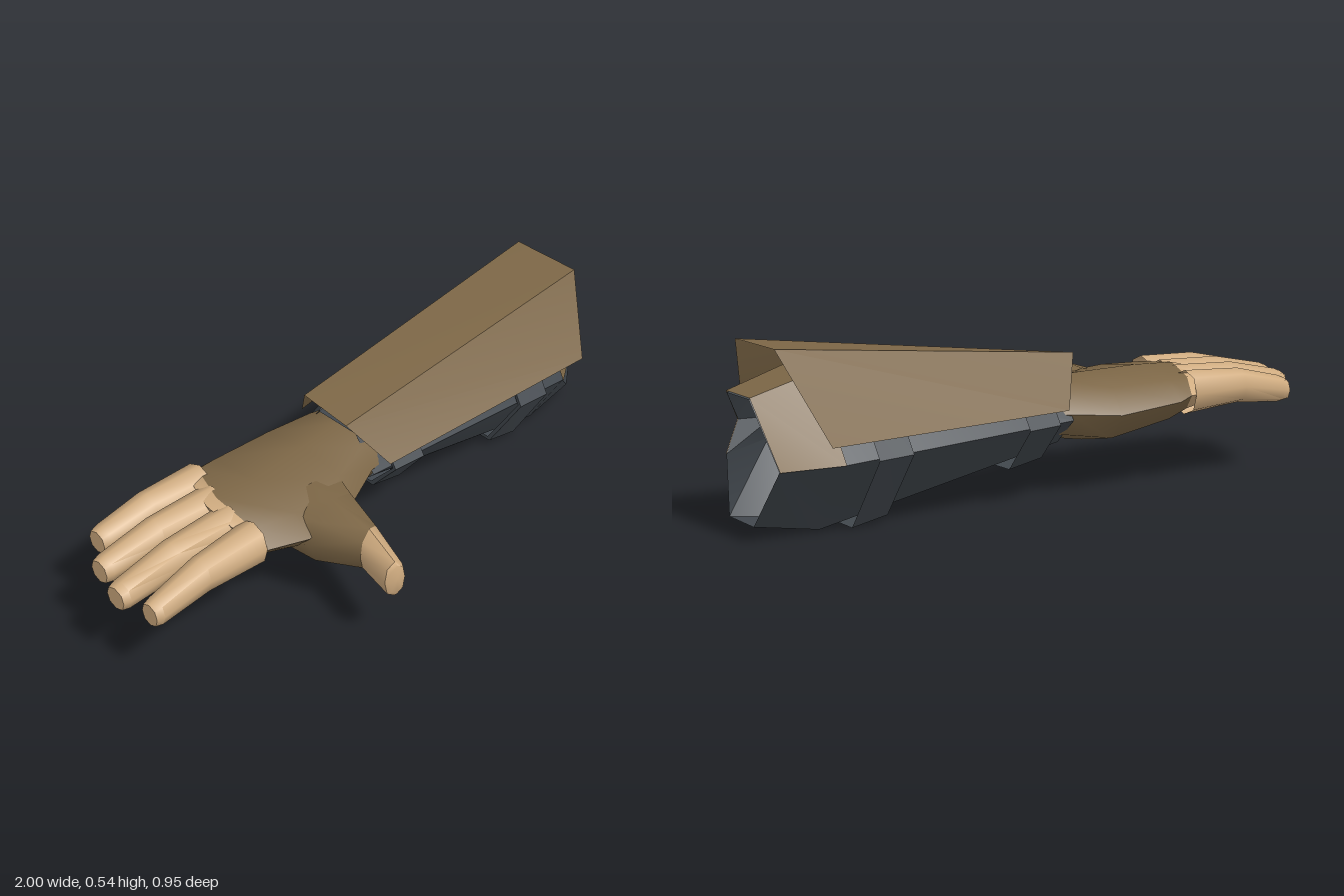
import * as THREE from 'three';
import { toCreasedNormals } from 'three/addons/utils/BufferGeometryUtils.js';

// Skin through rings of [x, y, z] points; optional end caps
function loft(rings, { closed = true, capStart = false, capEnd = false, crease = 0.6 } = {}) {
  const n = rings[0].length, pos = rings.flat(2), idx = [];
  for (let i = 0; i < rings.length - 1; i++) {
    for (let j = 0; j < (closed ? n : n - 1); j++) {
      const a = i * n + j, b = i * n + (j + 1) % n, c = a + n, d = b + n;
      idx.push(a, c, b, b, c, d);
    }
  }
  const cap = (i, flip) => {
    const centre = pos.length / 3;
    for (let k = 0; k < 3; k++) pos.push(rings[i].reduce((s, p) => s + p[k], 0) / n);
    for (let j = 0; j < n; j++) {
      const a = i * n + j, b = i * n + (j + 1) % n;
      if (flip) idx.push(centre, b, a); else idx.push(centre, a, b);
    }
  };
  if (capStart) cap(0, false);
  if (capEnd) cap(rings.length - 1, true);
  const g = new THREE.BufferGeometry();
  g.setAttribute('position', new THREE.Float32BufferAttribute(pos, 3));
  g.setIndex(idx);
  return toCreasedNormals(g, crease);
}

// Rounded eight-point outline, from the side over the top
const OCT = [[1, 0], [0.75, 0.72], [0, 1], [-0.75, 0.72], [-1, 0], [-0.75, -0.72], [0, -1], [0.75, -0.72]];
const mix = (a, b, t) => a + (b - a) * t;

// Ring across the hand or a finger
const ring = (x, zF, zB, top, bot, skew = () => 0) => OCT.map(([u, v]) => {
  const z = (zF + zB) / 2 + u * (zF - zB) / 2;
  return [x + skew(z), (top + bot) / 2 + v * (top - bot) / 2, z];
});

// Ring across the thumb between two edge points [x, z]
const thumbRing = ([x0, z0], [x1, z1], top, bot) => OCT.map(([u, v]) => {
  const t = (1 - u) / 2;
  return [mix(x0, x1, t), (top + bot) / 2 + v * (top - bot) / 2, mix(z0, z1, t)];
});

// Outline of the tapering forearm at x, enlarged by grow
function armRing(x, grow = 0) {
  const t = (x + 0.04) / 0.84;
  const top = mix(0.365, 0.46, t) + grow, bot = mix(0.17, 0.01, t) - grow;
  const sideY = mix(0.25, 0.225, t);
  const side = [x, sideY, mix(0.04, 0.07, t) + grow];
  const topF = [x, top, mix(-0.04, -0.06, t) + grow * 0.6];
  const topB = [x, top, mix(-0.21, -0.24, t) - grow * 0.6];
  const back = [x, sideY, mix(-0.3, -0.42, t) - grow];
  const botB = [x, bot, mix(-0.21, -0.25, t) - grow * 0.6];
  const botF = [x, bot, mix(-0.05, -0.065, t) + grow * 0.6];
  const upper = side.map((s, k) => mix(s, topF[k], 0.3));
  return [side, upper, topF, topB, back, botB, botF];
}

export function createModel() {
  const mat = (name, color) => {
    const m = new THREE.MeshStandardMaterial({ color, side: THREE.DoubleSide });
    m.name = name;
    return m;
  };
  const leather = mat('brown leather', 0x7c6646);
  const skin = mat('skin', 0xd0ac80);
  const cloth = mat('dark grey cloth', 0x41474d);

  const model = new THREE.Group();
  model.name = 'armouredForearm';
  const add = (name, geometry, material) => {
    const m = new THREE.Mesh(geometry, material);
    m.name = name;
    model.add(m);
  };

  // Forearm sleeve, open at both ends with a notched elbow rim
  const rim = [[1, 0.22, -0.07], [0.92, 0.3, 0.02], [1, 0.4, -0.08], [1, 0.4, -0.225],
    [1, 0.225, -0.41], [1, 0.04, -0.24], [1, 0.04, -0.08]];
  add('sleeve', loft([armRing(-0.04), armRing(0.8), rim]), cloth);

  // Leather facing over the upper half of the elbow end
  const rimOut = rim.map(([x, y, z]) => [x, y + (y > 0.35 ? 0.005 : 0), z + (z > -0.15 ? 0.005 : -0.005)]);
  add('elbowFacing', loft([armRing(0.8, 0.005).slice(0, 5), rimOut.slice(0, 5)], { closed: false }), leather);

  // Straps
  for (const [name, x0, x1] of [['wristStrap', 0.03, 0.15], ['elbowStrap', 0.58, 0.7]]) {
    add(name, loft([armRing(x0, 0.012), armRing(x0, 0.025), armRing(x1, 0.025)]), cloth);
  }

  // Three-sided guard plate
  add('guardPlate', loft([
    [[0, 0.29, 0.075], [-0.09, 0.425, -0.03], [-0.09, 0.445, -0.22], [0, 0.29, -0.335]],
    [[0.87, 0.29, 0.092], [0.95, 0.545, -0.036], [0.95, 0.545, -0.288], [0.87, 0.29, -0.475]],
  ], { closed: false }), leather);

  // Glove body; its finger edge slants back towards the little finger
  const skew = z => Math.max(0, -0.09 - z) * 0.39;
  add('glove', loft([
    ring(-0.56, 0.13, -0.32, 0.36, 0.22, skew),
    ring(-0.42, 0.165, -0.332, 0.362, 0.19),
    ring(-0.2, 0.11, -0.326, 0.362, 0.145),
    ring(-0.04, 0.035, -0.293, 0.362, 0.172),
    ring(0.04, 0.02, -0.28, 0.35, 0.185),
  ], { crease: 0.9 }), leather);

  // Knuckles
  add('knuckles', loft([
    ring(-0.6, 0.125, -0.315, 0.35, 0.23, skew),
    ring(-0.56, 0.13, -0.32, 0.36, 0.22, skew),
  ], { capStart: true, crease: 0.9 }), skin);

  // Fingers: tip x, tip z range, base x, base z range
  const fingers = [
    ['indexFinger', -0.975, 0.14, 0.06, -0.555, 0.13, 0.01],
    ['middleFinger', -1.0, 0.02, -0.07, -0.555, 0.025, -0.095],
    ['ringFinger', -0.96, -0.11, -0.195, -0.53, -0.085, -0.205],
    ['littleFinger', -0.88, -0.225, -0.31, -0.49, -0.19, -0.318],
  ];
  for (const [name, tx, tF, tB, bx, bF, bB] of fingers) {
    const mx = mix(bx, tx, 0.52);
    add(name, loft([
      ring(tx, tF - 0.006, tB + 0.006, 0.305, 0.232),
      ring(tx + 0.025, tF, tB, 0.315, 0.228),
      ring(mx, mix(bF, tF, 0.52), mix(bB, tB, 0.52), 0.352, 0.24),
      ring(bx, bF, bB, 0.36, 0.22),
    ], { capStart: true, crease: 0.9 }), skin);
  }

  // Thumb: leather base and bare tip
  const cuff = thumbRing([-0.36, 0.32], [-0.25, 0.28], 0.33, 0.195);
  add('thumbBase', loft([
    thumbRing([-0.45, 0.04], [-0.14, 0.02], 0.345, 0.155),
    thumbRing([-0.42, 0.16], [-0.19, 0.12], 0.35, 0.145),
    cuff,
  ].map(r => r.slice().reverse()), { crease: 0.9 }), leather);
  add('thumbTip', loft([
    cuff,
    thumbRing([-0.39, 0.455], [-0.32, 0.465], 0.328, 0.202),
    thumbRing([-0.38, 0.465], [-0.325, 0.472], 0.318, 0.212),
  ].map(r => r.slice().reverse()), { capEnd: true, crease: 0.9 }), skin);

  return model;
}
